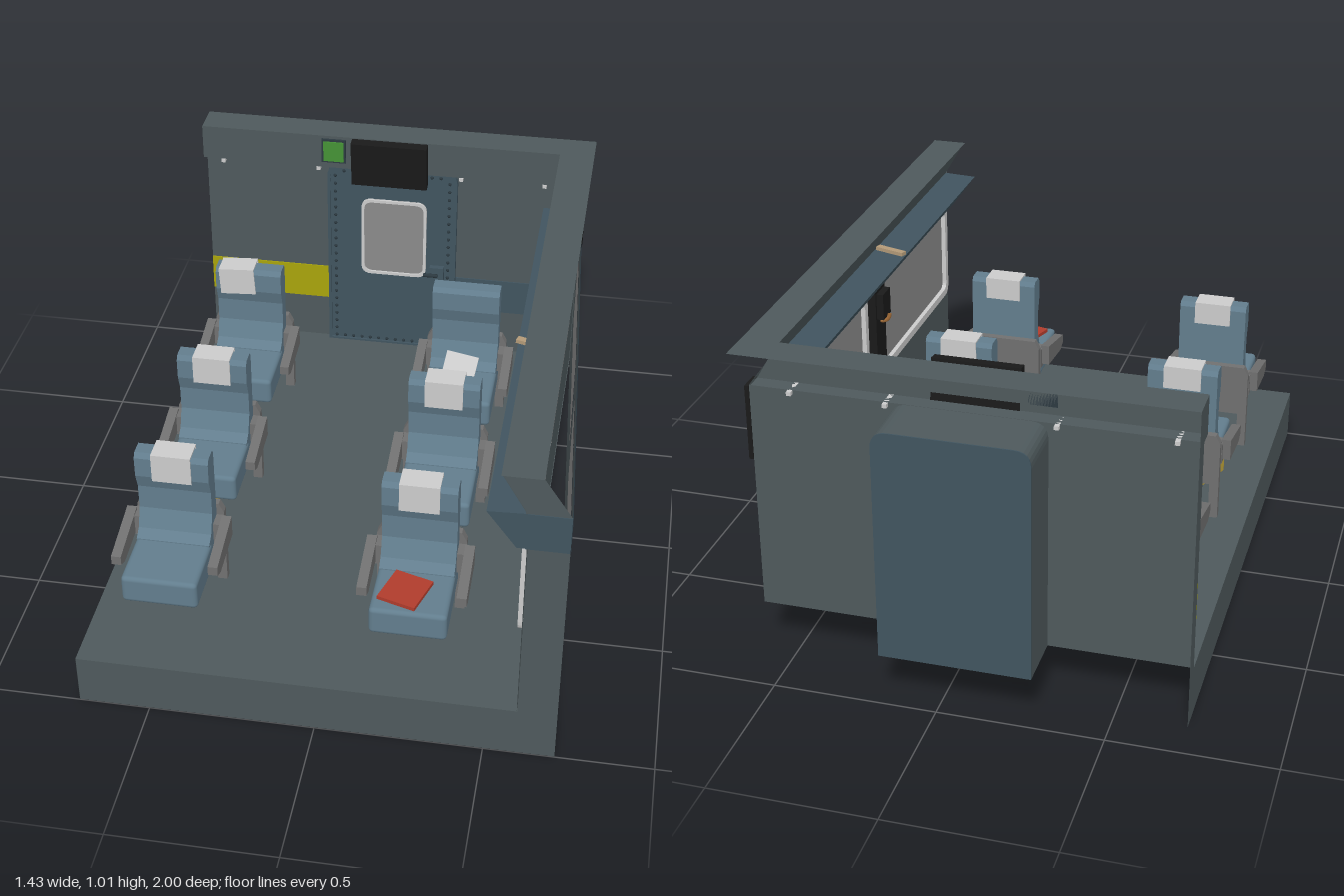
import * as THREE from 'three';
import { RoundedBoxGeometry } from 'three/addons/geometries/RoundedBoxGeometry.js';

const mat = (color) => new THREE.MeshStandardMaterial({ color, side: THREE.DoubleSide });
const M = {
  wall: mat(0x4e595c), blue: mat(0x40545f), seat: mat(0x627d8d), frame: mat(0x707070), glass: mat(0x8a8a8a),
  black: mat(0x1a1a1a), white: mat(0xe8e8e8), yellow: mat(0xa8a40c), caseYellow: mat(0xb59c38),
  red: mat(0xb03c2c), green: mat(0x459236), rivet: mat(0x2c3940), tan: mat(0xb39a78), orange: mat(0xa8703a),
};

function add(parent, name, geo, material, x = 0, y = 0, z = 0) {
  const m = new THREE.Mesh(geo, material);
  m.name = name;
  m.position.set(x, y, z);
  parent.add(m);
  return m;
}
// box given by its min and max corners
function box(parent, name, material, x0, x1, y0, y1, z0, z1) {
  return add(parent, name, new THREE.BoxGeometry(x1 - x0, y1 - y0, z1 - z0), material,
    (x0 + x1) / 2, (y0 + y1) / 2, (z0 + z1) / 2);
}
const poly = (pts) => new THREE.Shape(pts.map((p) => new THREE.Vector2(p[0], p[1])));
// rounded rectangle; separate radii for bottom and top corners
function roundRect(x0, x1, y0, y1, rb, rt = rb, Type = THREE.Shape) {
  const s = new Type();
  s.moveTo(x0 + rb, y0);
  s.lineTo(x1 - rb, y0);
  s.quadraticCurveTo(x1, y0, x1, y0 + rb);
  s.lineTo(x1, y1 - rt);
  s.quadraticCurveTo(x1, y1, x1 - rt, y1);
  s.lineTo(x0 + rt, y1);
  s.quadraticCurveTo(x0, y1, x0, y1 - rt);
  s.lineTo(x0, y0 + rb);
  s.quadraticCurveTo(x0, y0, x0 + rb, y0);
  return s;
}
const extrude = (shape, depth) => new THREE.ExtrudeGeometry(shape, { depth, bevelEnabled: false, curveSegments: 6 });
// profile drawn in (z, y); the solid runs from x1 - depth to x1
const sideways = (shape, depth, x1) => extrude(shape, depth).rotateY(-Math.PI / 2).translate(x1, 0, 0);
// lean a geometry outwards towards the front end
function flare(geo) {
  const p = geo.attributes.position;
  for (let i = 0; i < p.count; i++) p.setX(i, p.getX(i) + 0.063 * (p.getZ(i) + 0.82));
  geo.computeVertexNormals();
  return geo;
}
function quad(a, b, c, d) {
  const g = new THREE.BufferGeometry();
  g.setAttribute('position', new THREE.Float32BufferAttribute([...a, ...b, ...c, ...d], 3));
  g.setIndex([0, 1, 2, 0, 2, 3]);
  g.computeVertexNormals();
  return g;
}

const WINDOWS = [[0.26, 0.95], [-0.62, 0.095]];

function shell(g) {
  add(g, 'floor', quad([-0.715, 0.165, 1], [0.595, 0.165, 1], [0.595, 0.165, -0.82], [-0.715, 0.165, -0.82]), M.wall);
  // cut faces at the front and the left-hand side of the picture plane
  add(g, 'frontCutFace', new THREE.ShapeGeometry(poly([[-0.715, 0], [0.71, 0], [0.71, 0.89], [0.63, 1.01],
    [0.52, 1.01], [0.585, 0.9], [0.595, 0.77], [0.595, 0.165], [-0.715, 0.165]])), M.wall, 0, 0, 0.998);
  box(g, 'frontCutTrim', M.blue, 0.59, 0.71, 0.77, 0.89, 0.998, 1);
  add(g, 'sideCutFace', new THREE.ShapeGeometry(poly([[1, 0], [1, 0.165], [-0.82, 0.165], [-0.82, 0.89],
    [-0.77, 0.89], [-0.77, 1.01], [-0.88, 1.01], [-0.88, 0]])).rotateY(-Math.PI / 2), M.wall, -0.715, 0, 0);

  // ceiling edge strips, open to the outside
  add(g, 'rearCeilingTop', quad([-0.715, 1.01, -0.77], [0.63, 1.01, -0.77], [0.63, 1.01, -0.88], [-0.715, 1.01, -0.88]), M.wall);
  add(g, 'rearCeilingFace', quad([-0.715, 0.89, -0.77], [0.59, 0.89, -0.77], [0.52, 1.01, -0.77], [-0.715, 1.01, -0.77]), M.wall);
  add(g, 'rearSoffit', quad([-0.715, 0.89, -0.82], [0.59, 0.89, -0.82], [0.59, 0.89, -0.77], [-0.715, 0.89, -0.77]), M.wall);
  add(g, 'sideCeilingTop', quad([0.515, 1.01, 1], [0.63, 1.01, 1], [0.63, 1.01, -0.77], [0.515, 1.01, -0.77]), M.wall);
  add(g, 'sideCeilingFace', quad([0.52, 1.01, 1], [0.52, 1.01, -0.77], [0.59, 0.89, -0.77], [0.59, 0.89, 1]), M.wall);

  // window wall: straight inner skin and flared outer skin
  const skin = () => {
    const s = poly([[-0.82, 0.165], [1, 0.165], [1, 0.89], [-0.82, 0.89]]);
    for (const [a, b] of WINDOWS) s.holes.push(roundRect(a, b, 0.45, 0.77, 0.03, 0.03, THREE.Path));
    return new THREE.ShapeGeometry(s, 6).rotateY(-Math.PI / 2);
  };
  add(g, 'innerSideWall', skin().translate(0.593, 0, 0), M.wall);
  add(g, 'outerSideWall', flare(skin().translate(0.595, 0, 0)), M.wall);
  add(g, 'outerTrim', flare(quad([0.597, 0.77, 1], [0.597, 0.77, -0.62], [0.597, 0.89, -0.62], [0.597, 0.89, 1])), M.blue);
  for (const [a, b] of WINDOWS) {
    const pane = new THREE.ShapeGeometry(roundRect(a, b, 0.45, 0.77, 0.03)).rotateY(-Math.PI / 2).translate(0.594, 0, 0);
    add(g, 'windowPane', pane, M.glass);
    add(g, 'outerPane', flare(pane.clone()), M.glass);
    const ring = roundRect(a - 0.015, b + 0.015, 0.435, 0.785, 0.04);
    ring.holes.push(roundRect(a + 0.01, b - 0.01, 0.46, 0.76, 0.025, 0.025, THREE.Path));
    add(g, 'windowFrame', sideways(ring, 0.015, 0.593), M.white);
  }
  add(g, 'blind', flare(quad([0.6, 0.77, -0.34], [0.6, 0.77, -0.62], [0.6, 0.81, -0.62], [0.6, 0.81, -0.34])), M.white);
  add(g, 'sideCove', extrude(poly([[0.48, 0.885], [0.565, 0.77], [0.592, 0.77], [0.592, 0.89]]), 1.62), M.blue, 0, 0, -0.622);
  box(g, 'cornerPanel', M.black, 0.596, 0.61, 0.65, 0.885, -0.82, -0.755);

  // pillar between the windows with a wall unit
  box(g, 'pillar', M.black, 0.558, 0.59, 0.165, 0.83, 0.13, 0.22);
  box(g, 'wallUnit', M.black, 0.535, 0.59, 0.68, 0.77, 0.14, 0.21);
  add(g, 'hook', new THREE.TorusGeometry(0.028, 0.007, 6, 14, Math.PI), M.orange, 0.555, 0.69, 0.175).rotation.z = Math.PI;
  box(g, 'coatPeg', M.tan, 0.475, 0.58, 0.895, 0.907, 0.2, 0.222).rotation.y = -0.3;
}

function rearWall(g) {
  add(g, 'rearWall', quad([-0.715, 0.165, -0.82], [0.595, 0.165, -0.82], [0.595, 0.89, -0.82], [-0.715, 0.89, -0.82]), M.wall);
  box(g, 'yellowBand', M.yellow, -0.715, -0.285, 0.33, 0.46, -0.82, -0.816);
  box(g, 'blueBand', M.blue, 0.17, 0.556, 0.33, 0.46, -0.82, -0.816);
  // door housing outside
  add(g, 'doorHousing', extrude(roundRect(-0.285, 0.17, 0.165, 0.89, 0.001, 0.05), 0.174), M.wall, 0, 0, -0.996);
  add(g, 'housingPanel', extrude(roundRect(-0.285, 0.17, 0.165, 0.89, 0.001, 0.05), 0.004), M.blue, 0, 0, -1);
  // door leaf
  const leaf = roundRect(-0.285, 0.17, 0.165, 0.888, 0.001, 0.05);
  add(g, 'door', extrude(leaf, 0.015), M.blue, 0, 0, -0.82);
  const rim = roundRect(-0.285, 0.17, 0.165, 0.888, 0.001, 0.05);
  rim.holes.push(roundRect(-0.275, 0.16, 0.172, 0.875, 0.001, 0.045, THREE.Path));
  add(g, 'doorRim', extrude(rim, 0.022), M.blue, 0, 0, -0.82);
  const pane = roundRect(-0.165, 0.065, 0.46, 0.76, 0.035);
  add(g, 'doorPane', extrude(pane, 0.018), M.glass, 0, 0, -0.82);
  pane.holes.push(roundRect(-0.155, 0.055, 0.47, 0.75, 0.03, 0.03, THREE.Path));
  add(g, 'doorPaneFrame', extrude(pane, 0.025), M.white, 0, 0, -0.82);
  const rivet = (x, y) => add(g, 'rivet', new THREE.SphereGeometry(0.006, 6, 4), M.rivet, x, y, -0.804);
  for (let i = 0; i < 22; i++) for (const x of [-0.258, 0.143]) rivet(x, 0.18 + i * 0.0315);
  for (let i = 1; i < 13; i++) for (const y of [0.18, 0.862]) rivet(-0.258 + i * 0.0308, y);
  box(g, 'lockPlate', M.blue, 0.08, 0.13, 0.42, 0.51, -0.81, -0.785);
  const handle = add(g, 'handle', new THREE.CylinderGeometry(0.007, 0.007, 0.05, 8), M.rivet, 0.085, 0.485, -0.775);
  handle.rotation.z = Math.PI / 2;
  // screen, sign and small lamps
  const screen = box(g, 'screen', M.black, -0.19, 0.07, 0.845, 1.012, -0.768, -0.735);
  screen.rotation.x = 0.12;
  box(g, 'signFrame', M.rivet, -0.297, -0.213, 0.913, 1, -0.77, -0.762);
  box(g, 'sign', M.green, -0.29, -0.22, 0.92, 0.993, -0.765, -0.757);
  for (const x of [-0.645, -0.31, 0.185, 0.47]) box(g, 'lamp', M.white, x - 0.007, x + 0.007, 0.878, 0.89, -0.835, -0.765);
}

// seat with its back plate at z = 0, facing +z
function makeSeat() {
  const s = new THREE.Group();
  s.name = 'seat';
  const plate = poly([[-0.135, 0.165], [-0.105, 0.165], [-0.105, 0.285], [0.105, 0.285], [0.105, 0.165],
    [0.135, 0.165], [0.135, 0.43], [0.12, 0.46], [-0.12, 0.46], [-0.135, 0.43]]);
  add(s, 'backPlate', extrude(plate, 0.025), M.frame);
  const back = poly([[0.025, 0.285], [0.025, 0.655], [0.035, 0.67], [0.08, 0.67], [0.092, 0.655], [0.092, 0.59],
    [0.075, 0.54], [0.075, 0.46], [0.1, 0.4], [0.13, 0.38]]);
  back.lineTo(0.13, 0.285);
  add(s, 'backrest', sideways(back, 0.224, 0.112), M.seat);
  add(s, 'cushion', new RoundedBoxGeometry(0.23, 0.092, 0.21, 2, 0.014), M.seat, 0, 0.331, 0.205);
  for (const k of [-1, 1]) {
    const arm = poly([[0.04, 0.36], [0.2, 0.345], [0.235, 0.36], [0.235, 0.39], [0.04, 0.43]]);
    add(s, 'armrest', sideways(arm, 0.03, k * 0.147 + 0.015), M.frame);
    add(s, 'armBracket', new THREE.BoxGeometry(0.03, 0.07, 0.05), M.frame, k * 0.122, 0.385, 0.05);
  }
  // head cloth folded over the top
  const cloth = new THREE.Group();
  cloth.name = 'headCloth';
  box(cloth, 'clothTop', M.white, -0.06, 0.06, 0.67, 0.675, 0.02, 0.097);
  box(cloth, 'clothFront', M.white, -0.06, 0.06, 0.58, 0.675, 0.092, 0.097);
  box(cloth, 'clothBack', M.white, -0.06, 0.06, 0.6, 0.675, 0.019, 0.024);
  s.add(cloth);
  return s;
}

export function createModel() {
  const g = new THREE.Group();
  g.name = 'carriageCabin';
  shell(g);
  rearWall(g);
  for (const [x, rows] of [[-0.487, [-0.5, 0.035, 0.55]], [0.255, [-0.495, 0.045, 0.565]]]) {
    for (const z of rows) {
      const seat = makeSeat();
      seat.position.set(x, 0, z);
      g.add(seat);
      if (z === -0.5) seat.getObjectByName('headCloth').rotation.z = 0.06;
      if (z === -0.495) seat.getObjectByName('headCloth').visible = false;
    }
  }
  // loose items
  const sheet = add(g, 'fallenCloth', new THREE.BoxGeometry(0.11, 0.006, 0.1), M.white, 0.25, 0.384, -0.28);
  sheet.rotation.y = -0.2;
  const fold = add(g, 'fallenClothFold', new THREE.BoxGeometry(0.11, 0.006, 0.07), M.white, 0.25, 0.41, -0.355);
  fold.rotation.set(0.9, -0.15, 0);
  add(g, 'redBook', new THREE.BoxGeometry(0.12, 0.012, 0.13), M.red, 0.235, 0.386, 0.785).rotation.y = -0.3;
  const bag = add(g, 'case', new RoundedBoxGeometry(0.1, 0.095, 0.14, 1, 0.005), M.caseYellow, -0.515, 0.205, 0.315);
  bag.rotation.y = -0.37;
  return g;
}
